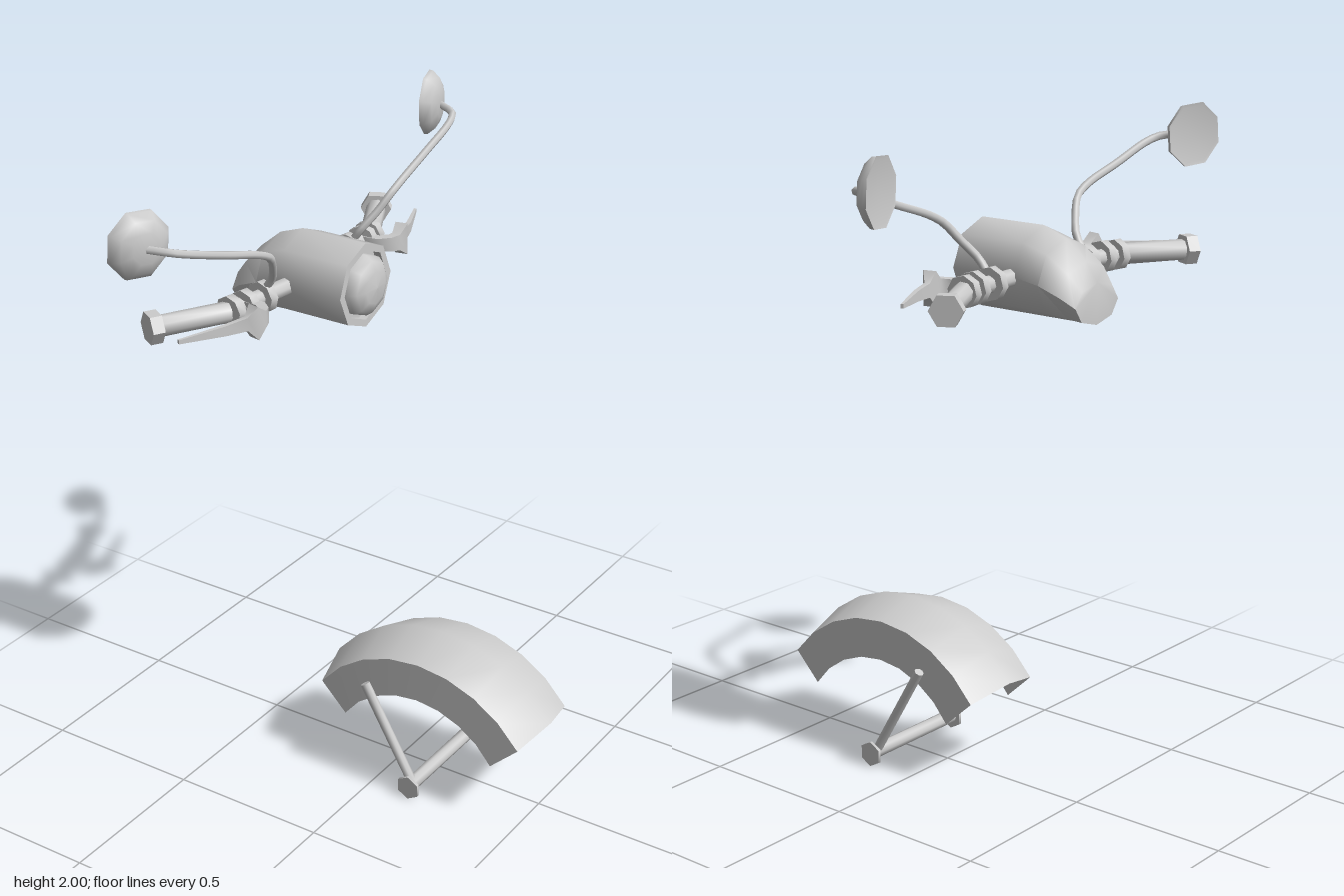
import * as THREE from 'three';
import { toCreasedNormals } from 'three/addons/utils/BufferGeometryUtils.js';

const V = (x, y, z) => new THREE.Vector3(x, y, z);
const BAR_Y = 1.585;
const grey = new THREE.MeshStandardMaterial({ color: 0xcccccc });
const greyThin = new THREE.MeshStandardMaterial({ color: 0xcccccc, side: THREE.DoubleSide });

function add(parent, name, geometry, material = grey) {
  const mesh = new THREE.Mesh(geometry, material);
  mesh.name = name;
  parent.add(mesh);
  return mesh;
}

// Turn a geometry built along +y so it points along dir, then move it to pos
function aim(geometry, pos, dir) {
  const q = new THREE.Quaternion().setFromUnitVectors(V(0, 1, 0), dir.clone().normalize());
  return geometry.applyQuaternion(q).translate(pos.x, pos.y, pos.z);
}

// Straight cylinder between two points
function rod(a, b, r, sides = 8) {
  const dir = b.clone().sub(a);
  const g = new THREE.CylinderGeometry(r, r, dir.length(), sides);
  return toCreasedNormals(aim(g, a.clone().lerp(b, 0.5), dir), 0.9);
}

// Skin through rings of equal length, closed at both ends
function loft(rings) {
  const n = rings[0].length, last = (rings.length - 1) * n, index = [];
  for (let i = 0; i < rings.length - 1; i++) {
    for (let j = 0; j < n; j++) {
      const a = i * n + j, b = i * n + (j + 1) % n;
      index.push(a, b, b + n, a, b + n, a + n);
    }
  }
  for (let j = 1; j < n - 1; j++) {
    index.push(0, j + 1, j, last, last + j, last + j + 1);
  }
  const g = new THREE.BufferGeometry().setFromPoints(rings.flat());
  g.setIndex(index);
  return toCreasedNormals(g, 0.9);
}

// Arched mudguard with a ridged cross-section
function fender() {
  const profile = [[-0.15, 0.317, 33.5], [-0.145, 0.44, 36.2], [0, 0.485, 37],
    [0.145, 0.44, 36.2], [0.15, 0.317, 33.5]];
  const segs = 8;
  const g = new THREE.PlaneGeometry(1, 1, segs, profile.length - 1);
  const p = g.attributes.position;
  for (let i = 0; i < p.count; i++) {
    const [z, r, end] = profile[Math.floor(i / (segs + 1))];
    const t = (i % (segs + 1)) / segs;
    const a = THREE.MathUtils.degToRad(180 - end - t * (180 - 2 * end));
    p.setXYZ(i, 0.145 + r * Math.cos(a), 0.02 + r * Math.sin(a), z);
  }
  return toCreasedNormals(g, 1.0);
}

// Octagonal headlight housing: flat underside, top sloping down at the rear
function headlightShell() {
  const sections = [ // x, top, bottom, half width
    [-0.54, 1.58, 1.46, 0.1], [-0.5, 1.635, 1.46, 0.118], [-0.43, 1.692, 1.46, 0.128],
    [-0.35, 1.72, 1.46, 0.131], [-0.13, 1.72, 1.46, 0.131],
    [-0.13, 1.698, 1.482, 0.108], [-0.155, 1.698, 1.482, 0.108]];
  return loft(sections.map(([x, top, bottom, w]) => Array.from({ length: 8 }, (_, j) => {
    const a = j * Math.PI / 4;
    return V(x, (top + bottom) / 2 + Math.cos(a) * (top - bottom) / 2, Math.sin(a) * w);
  })));
}

// Rounded cap, eight-sided, pointing up +y
function dome(points) {
  return new THREE.LatheGeometry(points.map(([r, y]) => new THREE.Vector2(r, y)), 8);
}

// Control lever: bracket bending forward, flared plate, tapering blade
function lever(s) {
  const pts = [ // x, z, height, thickness
    [-0.335, 0.298, 0.04, 0.035], [-0.285, 0.302, 0.04, 0.032], [-0.258, 0.325, 0.045, 0.03],
    [-0.25, 0.345, 0.05, 0.03], [-0.252, 0.378, 0.1, 0.04], [-0.262, 0.4, 0.04, 0.016],
    [-0.285, 0.47, 0.03, 0.014], [-0.345, 0.6, 0.012, 0.008]];
  return loft(pts.map(([x, z, h, t], i) => {
    const p = pts[Math.max(i - 1, 0)], q = pts[Math.min(i + 1, pts.length - 1)];
    const d = V(q[0] - p[0], 0, s * (q[1] - p[1])).normalize();
    const side = V(-d.z, 0, d.x);
    return [[1, -1], [1, 1], [-1, 1], [-1, -1]].map(([v, u]) =>
      V(x, BAR_Y, s * z).addScaledVector(side, -u * t / 2 * -1).add(V(0, v * h / 2, 0)))
      .sort(() => 0);
  }).map((ring) => [ring[0], ring[1], ring[2], ring[3]]));
}

// One side of the handlebar with grip, lever and mirror; s = 1 or -1
function handlebarSide(s) {
  const side = new THREE.Group();
  const at = (x, z, y = BAR_Y) => V(x, y, z * s);
  const bend = at(-0.355, 0.36), end = at(-0.465, 0.56);
  const barDir = at(-0.355, 0.36).sub(at(-0.325, 0.1)).normalize();
  const gripDir = end.clone().sub(bend).normalize();

  add(side, 'handlebar', rod(at(-0.325, 0.1), bend, 0.026));
  add(side, 'grip', rod(bend, end, 0.031));
  add(side, 'gripEnd', rod(end.clone().addScaledVector(gripDir, -0.018),
    end.clone().addScaledVector(gripDir, 0.018), 0.048, 6));

  // Clamps along the bar
  for (const [x, z, r, name] of [[-0.338, 0.22, 0.049, 'mirrorClamp'],
    [-0.341, 0.298, 0.049, 'leverClamp'], [-0.352, 0.35, 0.047, 'gripCollar']]) {
    const c = at(x, z);
    add(side, name, rod(c.clone().addScaledVector(barDir, -0.014),
      c.clone().addScaledVector(barDir, 0.014), r));
  }
  add(side, 'lever', lever(s), greyThin);

  // Mirror stalk
  const path = new THREE.CatmullRomCurve3([at(-0.325, 0.222, 1.615), at(-0.3, 0.225, 1.65),
    at(-0.265, 0.265, 1.705), at(-0.243, 0.305, 1.753), at(-0.238, 0.36, 1.782),
    at(-0.243, 0.5, 1.828), at(-0.249, 0.64, 1.876), at(-0.268, 0.69, 1.892),
    at(-0.34, 0.725, 1.9)], false, 'centripetal');
  add(side, 'mirrorStalk', new THREE.TubeGeometry(path, 24, 0.012, 6));

  // Mirror: domed back facing forward, shallow glass facing the rider
  const head = dome([[0, 0.008], [0.09, 0.002], [0.1, 0], [0.098, 0.012], [0.078, 0.035],
    [0.045, 0.047], [0, 0.05]]);
  add(side, 'mirror', aim(toCreasedNormals(head, 0.9), at(-0.375, 0.712, 1.902),
    V(0.953, 0, 0.3 * s)), greyThin);
  return side;
}

export function createModel() {
  const model = new THREE.Group();

  // Front mudguard, stays and axle
  const wheelParts = new THREE.Group();
  wheelParts.name = 'frontFenderAssembly';
  add(wheelParts, 'fender', fender(), greyThin);
  add(wheelParts, 'axle', rod(V(0.145, 0.042, -0.195), V(0.145, 0.042, 0.195), 0.022));
  for (const s of [1, -1]) {
    add(wheelParts, 'fenderStay', rod(V(0.145, 0.042, 0.17 * s), V(-0.03, 0.347, 0.17 * s), 0.015));
    add(wheelParts, 'axleNut', aim(new THREE.CylinderGeometry(0.04, 0.04, 0.01, 6)
      .toNonIndexed(), V(0.145, 0.04, 0.195 * s), V(0, 0, 1)));
  }
  model.add(wheelParts);

  // Headlight
  const headlight = new THREE.Group();
  headlight.name = 'headlight';
  add(headlight, 'headlightShell', headlightShell());
  const lens = dome([[0.096, -0.02], [0.094, 0.008], [0.08, 0.028], [0.05, 0.041], [0, 0.046]]);
  add(headlight, 'headlightLens', aim(lens, V(-0.135, 1.59, 0), V(1, 0, 0)));
  model.add(headlight);

  // Handlebars, mirrored left and right
  for (const s of [1, -1]) {
    const side = handlebarSide(s);
    side.name = s > 0 ? 'leftHandlebar' : 'rightHandlebar';
    model.add(side);
  }
  return model;
}
